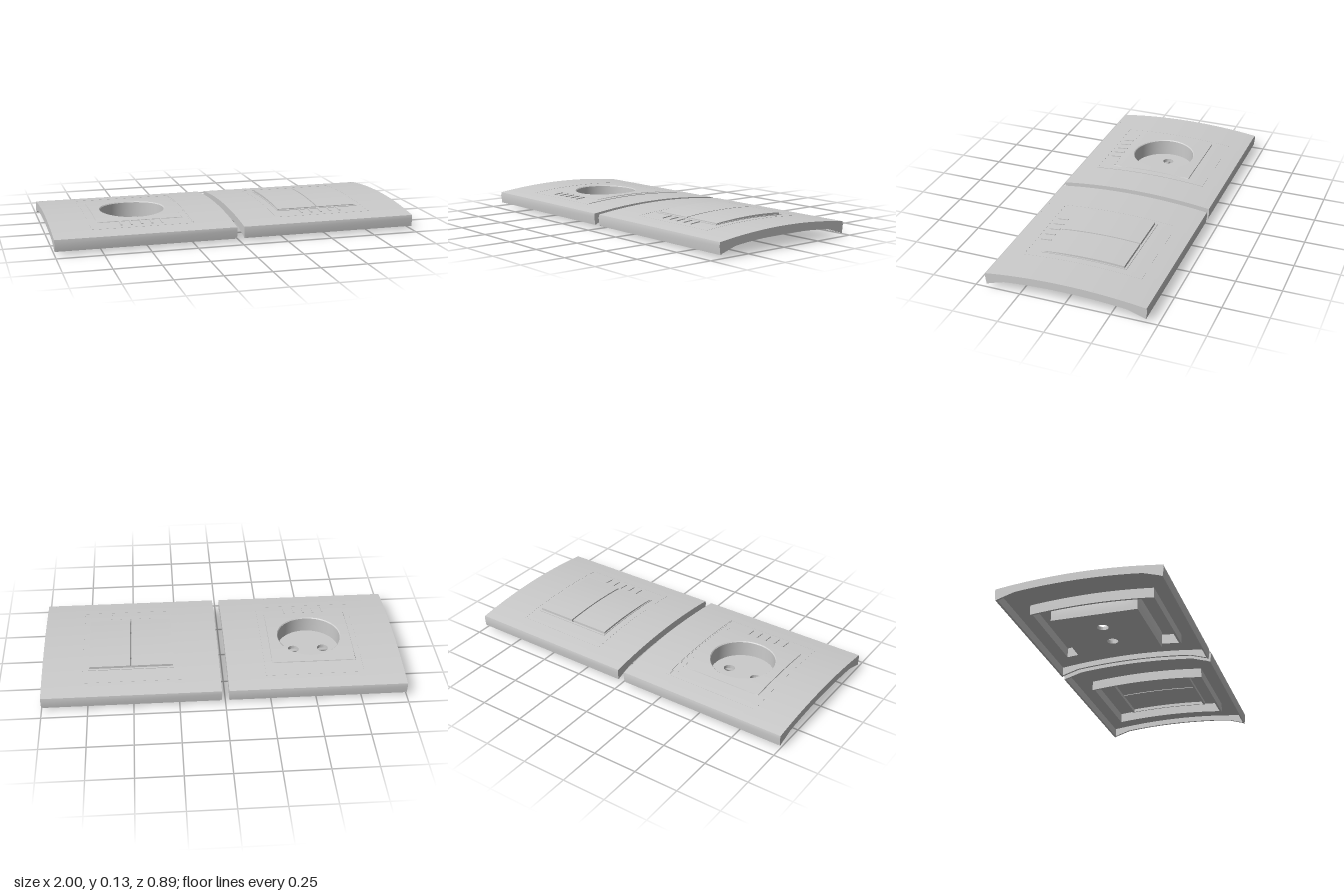
import * as THREE from 'three';
import { toCreasedNormals } from 'three/addons/utils/BufferGeometryUtils.js';

const material = new THREE.MeshStandardMaterial({ color: 0xcccccc, side: THREE.DoubleSide });
const HALF_X = 0.49, HALF_Z = 0.443, OPEN = 0.236, SHELL = 0.012;

// Curved upper surface shared by all parts, with a height offset
const arc = (offset = 0) => z => 0.113 - 0.155 * z * z + offset;

function add(group, name, geometry) {
  const mesh = new THREE.Mesh(toCreasedNormals(geometry, 0.45), material);
  mesh.name = name;
  group.add(mesh);
  return mesh;
}

// Extrudes a closed (z, y) outline along x
function alongX(points, x0, x1) {
  const shape = new THREE.Shape(points.map(([z, y]) => new THREE.Vector2(-z, y)));
  const geo = new THREE.ExtrudeGeometry(shape, { depth: x1 - x0, bevelEnabled: false });
  return geo.rotateY(Math.PI / 2).translate(x0, 0, 0);
}

// Slab bounded by two height curves over a z range
function slab(x0, x1, z0, z1, bottom, top) {
  const n = Math.max(1, Math.ceil((z1 - z0) / 0.035));
  const low = [], high = [];
  for (let i = 0; i <= n; i++) {
    const z = z0 + (z1 - z0) * i / n;
    low.push([z, bottom(z)]);
    high.unshift([z, top(z)]);
  }
  return alongX([...low, ...high], x0, x1);
}

// Rectangular ring of four slabs
function ring(group, name, hx, hz, ix, iz, bottom, top) {
  for (const s of [-1, 1]) {
    const [xa, xb] = s < 0 ? [-hx, -ix] : [ix, hx];
    const [za, zb] = s < 0 ? [-hz, -iz] : [iz, hz];
    add(group, name + 'Side', slab(xa, xb, -hz, hz, bottom, top));
    add(group, name + (s > 0 ? 'Front' : 'Back'), slab(-ix, ix, za, zb, bottom, top));
  }
}

function coverPlate() {
  const g = new THREE.Group();
  ring(g, 'plateTop', HALF_X, 0.44, OPEN, OPEN, arc(-SHELL), arc());

  // Side skirts: arched lower edge that drops at the corners
  const skirtBottom = z => {
    const a = Math.abs(z);
    return a < 0.335 ? arc(-0.043)(z) : 0.0526 - (a - 0.335) * 0.0326 / 0.105;
  };
  for (const s of [-1, 1]) {
    const x = s * (HALF_X - SHELL / 2);
    add(g, 'sideSkirt', slab(x - SHELL / 2, x + SHELL / 2, -0.438, 0.438, skirtBottom, arc()));
    // End skirts with a slight outward crease
    const outline = [[0.437, 0.019], [HALF_Z, 0.064], [0.44, 0.083], [0.428, 0.0846], [0.428, 0.022]];
    add(g, 'endSkirt', alongX(outline.map(([z, y]) => [s * z, y]), -HALF_X, HALF_X));
  }

  // Mounting frame hanging below the plate
  ring(g, 'mountingFrame', 0.278, 0.335, 0.266, 0.323, arc(-0.067), arc(0.0008));

  // Short raised ribs in front of the insert
  for (let i = -2; i <= 2; i++) {
    const x = i * 0.056;
    add(g, 'rib', slab(x - 0.005, x + 0.005, 0.24, 0.3, arc(-0.005), arc(0.005)));
  }
  return g;
}

// Square body with a round well, swept as rows from outer wall to well floor
function socketBody(half, radius, floorY) {
  const n = 96, rows = [];
  rows.push([1, () => floorY], [1, arc(-0.001)], [0.98, arc(0.003)]);
  for (const t of [0.75, 0.5, 0.25, 0]) rows.push([t, arc(0.003)]);
  rows.push([-0.05, arc(-0.002)], [-0.05, () => floorY]);
  const pos = [], index = [];
  rows.forEach(([t, y], r) => {
    for (let i = 0; i <= n; i++) {
      const a = i / n * Math.PI * 2, c = Math.cos(a), s = Math.sin(a);
      const edge = half / Math.max(Math.abs(c), Math.abs(s));
      const d = t < 0 ? radius - 0.005 : radius + (edge - radius) * t;
      pos.push(d * c, y(d * s), d * s);
      if (r && i < n) {
        const q = r * (n + 1) + i, p = q - n - 1;
        index.push(p, q, p + 1, p + 1, q, q + 1);
      }
    }
  });
  const geo = new THREE.BufferGeometry();
  geo.setAttribute('position', new THREE.Float32BufferAttribute(pos, 3));
  geo.setIndex(index);
  return geo;
}

function socketUnit() {
  const g = coverPlate();
  const half = 0.235, floorY = 0.02;
  add(g, 'socketBody', socketBody(half, 0.183, floorY));

  // Floor pierced by two pin holes
  const floor = new THREE.Shape([[-half, -half], [half, -half], [half, half], [-half, half]]
    .map(p => new THREE.Vector2(...p)));
  for (const x of [-0.085, 0.085]) {
    floor.holes.push(new THREE.Path().absarc(x, 0, 0.031, 0, Math.PI * 2, true));
  }
  const floorGeo = new THREE.ExtrudeGeometry(floor, { depth: floorY, bevelEnabled: false, curveSegments: 24 });
  add(g, 'socketFloor', floorGeo.rotateX(-Math.PI / 2));

  // Thin raised line beside the insert
  add(g, 'edgeRidge', slab(0.273, 0.279, -0.335, 0.325, arc(-0.005), arc(0.003)));
  return g;
}

function switchUnit() {
  const g = coverPlate();
  ring(g, 'switchSurround', 0.238, 0.238, 0.232, 0.226, arc(-0.03), arc(0.003));

  // Pair of rockers, tipped slightly forward
  const top = z => 0.126 - 0.2 * z * z - 0.016 * z;
  for (const [x0, x1] of [[-0.232, -0.004], [0.004, 0.232]]) {
    add(g, 'rocker', slab(x0, x1, -0.224, 0.224, arc(-0.012), top));
  }
  return g;
}

export function createModel() {
  const model = new THREE.Group();
  model.name = 'wallPlates';
  const socket = socketUnit();
  socket.name = 'socketUnit';
  socket.position.x = -0.51;
  const rockers = switchUnit();
  rockers.name = 'switchUnit';
  rockers.position.x = 0.51;
  model.add(socket, rockers);
  return model;
}
